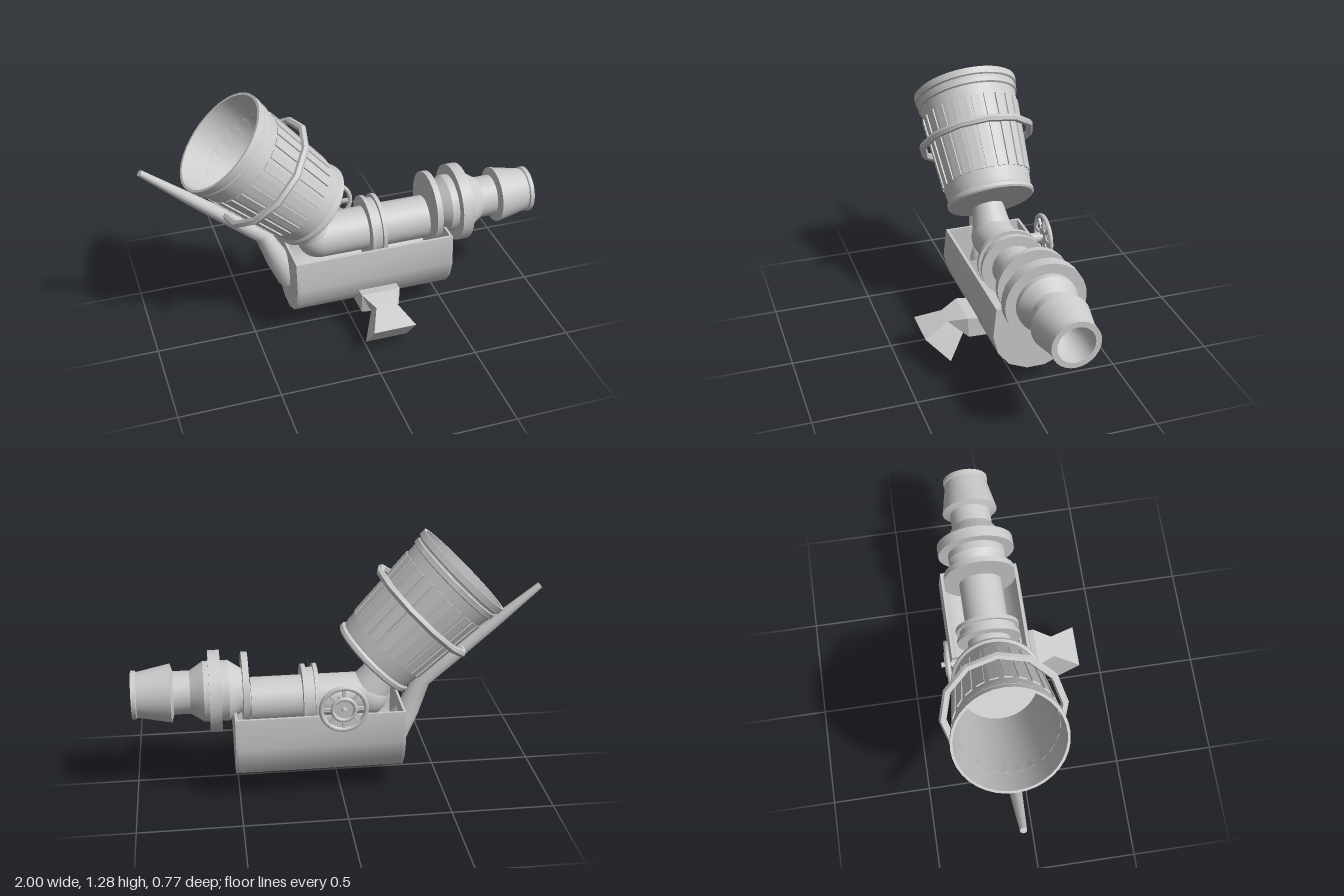
import * as THREE from 'three';
import { toCreasedNormals } from 'three/addons/utils/BufferGeometryUtils.js';

const grey = new THREE.MeshStandardMaterial({ color: 0xcccccc });
const Z = -0.087; // centre plane of the device

function add(parent, name, geometry, x = 0, y = 0, z = 0) {
  const mesh = new THREE.Mesh(geometry, grey);
  mesh.name = name;
  mesh.position.set(x, y, z);
  parent.add(mesh);
  return mesh;
}

// Turned part from [radius, height] pairs, with crisp edges
function turned(points, segments = 28) {
  const profile = points.map(([r, h]) => new THREE.Vector2(r, h));
  return toCreasedNormals(new THREE.LatheGeometry(profile, segments), 0.5);
}

// Turned part whose axis runs along x
function turnedX(points, segments) {
  return turned(points, segments).rotateZ(-Math.PI / 2);
}

// Skin through rings of equal point count, closed at both ends
function loft(rings, crease) {
  const n = rings[0].length, index = [];
  for (let i = 0; i < rings.length - 1; i++) {
    for (let j = 0; j < n; j++) {
      const a = i * n + j, b = i * n + (j + 1) % n;
      index.push(a, b, b + n, a, b + n, a + n);
    }
  }
  const last = (rings.length - 1) * n;
  for (let j = 1; j < n - 1; j++) {
    index.push(0, j + 1, j, last, last + j, last + j + 1);
  }
  const geometry = new THREE.BufferGeometry().setFromPoints(rings.flat());
  geometry.setIndex(index);
  return toCreasedNormals(geometry, crease);
}

// Open trough with a rounded bottom and flat end plates
function buildTrough(group) {
  const half = [[0.2, 0.445], [0.215, 0.295], [0.19, 0.2], [0.135, 0.13], [0.045, 0.09]];
  const outer = [...half.map(([x, y]) => [-x, y]), ...half.slice().reverse()];
  const inner = outer.map(([x, y]) => [x * 0.93, y === 0.445 ? y : 0.295 + (y - 0.295) * 0.93]);
  const shape = (pts) => new THREE.Shape(pts.map(([x, y]) => new THREE.Vector2(x, y)));
  const extrude = (pts, depth) => toCreasedNormals(
    new THREE.ExtrudeGeometry(shape(pts), { depth, bevelEnabled: false }).rotateY(Math.PI / 2), 0.7);
  add(group, 'troughWall', extrude([...outer, ...inner.reverse()], 0.796), -0.293, 0, Z);
  for (const x of [-0.305, 0.503]) add(group, 'troughEnd', extrude(outer, 0.012), x, 0, Z);
}

// Slatted bucket tipped back, with a loose strap ring
function buildBucket(group) {
  const bucket = new THREE.Group();
  bucket.name = 'bucket';
  bucket.position.set(-0.163, 0.645, Z);
  bucket.rotation.z = Math.PI / 4;
  group.add(bucket);
  add(bucket, 'bucketShell', turned([
    [0, 0], [0.215, 0], [0.223, 0.008], [0.223, 0.025], [0.213, 0.035], [0.217, 0.06],
    [0.25, 0.545], [0.26, 0.55], [0.26, 0.575], [0.255, 0.58], [0.257, 0.588],
    [0.267, 0.593], [0.268, 0.626], [0.255, 0.626], [0.2, 0.04], [0, 0.04],
  ], 36));
  const count = 24, lean = Math.atan2(0.033, 0.485);
  for (let i = 0; i < count; i++) {
    const slat = new THREE.Group();
    slat.rotation.y = (i + 0.5) / count * Math.PI * 2;
    add(slat, 'slat', new THREE.BoxGeometry(0.04, 0.38, 0.012), 0, 0.3, 0.233).rotation.x = lean;
    bucket.add(slat);
  }
  const ring = new THREE.TorusGeometry(0.285, 0.019, 6, 12).rotateX(Math.PI / 2);
  add(bucket, 'strapRing', toCreasedNormals(ring, 0.6), 0, 0.34, 0);
}

// Horizontal pipe, elbow, clamp and stepped nozzle
function buildPipe(group) {
  add(group, 'mainPipe', turnedX([[0, -0.135], [0.11, -0.135], [0.11, 0.43], [0.08, 0.43],
    [0.08, 0.46], [0, 0.46]]), 0, 0.46, Z);
  add(group, 'elbowJoint', new THREE.SphereGeometry(0.11, 24, 16), -0.135, 0.46, Z);
  const neck = add(group, 'elbowNeck', new THREE.CylinderGeometry(0.075, 0.108, 0.19, 24), -0.18, 0.535, Z);
  neck.rotation.z = 0.6;
  add(group, 'pipeClamp', turnedX([[0.1, 0.105], [0.163, 0.105], [0.163, 0.125], [0.145, 0.125],
    [0.145, 0.162], [0.163, 0.162], [0.163, 0.182], [0.1, 0.182]]), 0, 0.46, Z);
  add(group, 'nozzleFlange', turnedX([[0, 0.44], [0.18, 0.44], [0.18, 0.47], [0, 0.47]]), 0, 0.52, Z);
  add(group, 'nozzle', turnedX([
    [0.1, 0.465], [0.11, 0.48], [0.147, 0.535], [0.147, 0.573], [0.198, 0.573], [0.198, 0.63],
    [0.147, 0.63], [0.147, 0.655], [0.105, 0.72], [0.105, 0.8], [0.143, 0.812], [0.11, 0.975],
    [0.117, 0.98], [0.117, 1], [0.09, 1], [0.088, 0.9], [0.06, 0.83], [0, 0.81],
  ]), 0, 0.517, Z);
}

// Hand wheel on the back of the trough
function buildWheel(group) {
  const wheel = new THREE.Group();
  wheel.name = 'handWheel';
  wheel.position.set(0, 0.49, -0.31);
  group.add(wheel);
  add(wheel, 'wheelRim', new THREE.TorusGeometry(0.108, 0.012, 8, 28));
  add(wheel, 'wheelInnerRing', new THREE.TorusGeometry(0.055, 0.01, 8, 24), 0, 0, -0.008);
  const rod = (name, r, length, z) =>
    add(wheel, name, new THREE.CylinderGeometry(r, r, length, 16).rotateX(Math.PI / 2), 0, 0, z);
  rod('wheelAxle', 0.013, 0.2, 0.065);
  rod('wheelCollar', 0.026, 0.06, 0.05);
  rod('wheelHub', 0.045, 0.012, 0);
  rod('wheelKnob', 0.012, 0.035, -0.017);
  for (let i = 0; i < 8; i++) {
    const a = i * Math.PI / 4;
    const spoke = add(wheel, 'spoke', new THREE.BoxGeometry(0.07, 0.016, 0.012),
      Math.cos(a) * 0.07, Math.sin(a) * 0.07, 0);
    spoke.rotation.z = a;
  }
}

// Tapered tail tube rising from the trough end past the bucket
function buildTail(group) {
  const path = [[-0.28, 0.25, 0.075], [-0.35, 0.37, 0.058], [-0.42, 0.525, 0.042],
    [-0.6, 0.67, 0.036], [-0.77, 0.81, 0.029], [-0.985, 0.99, 0.016]];
  const rings = path.map(([x, y, r], i) => {
    const p = path[Math.max(i - 1, 0)], q = path[Math.min(i + 1, path.length - 1)];
    const t = new THREE.Vector3(q[0] - p[0], q[1] - p[1], 0).normalize();
    return Array.from({ length: 12 }, (_, k) => {
      const a = k / 12 * Math.PI * 2, s = Math.sin(a) * r;
      return new THREE.Vector3(x + t.y * s, y - t.x * s, Z + Math.cos(a) * r);
    });
  });
  add(group, 'tailTube', loft(rings, 0.9));
}

// Waisted foot flaring out from the front of the trough
function buildFoot(group) {
  // half width, bottom z, bottom y, top z, top y
  const sections = [[0.1, 0.02, 0.113, 0.08, 0.215], [0.1, 0.155, 0.119, 0.16, 0.225],
    [0.055, 0.17, 0.121, 0.25, 0.2], [0.109, 0.252, 0, 0.378, 0.152]];
  const rings = sections.map(([w, zb, yb, zt, yt]) => [
    new THREE.Vector3(-w, yb, zb), new THREE.Vector3(w, yb, zb),
    new THREE.Vector3(w, yt, zt), new THREE.Vector3(-w, yt, zt),
  ]);
  add(group, 'foot', loft(rings, 0.1), 0.118, 0, 0);
}

export function createModel() {
  const group = new THREE.Group();
  group.name = 'bucketCannon';
  for (const build of [buildTrough, buildBucket, buildPipe, buildWheel, buildTail, buildFoot]) build(group);
  return group;
}
